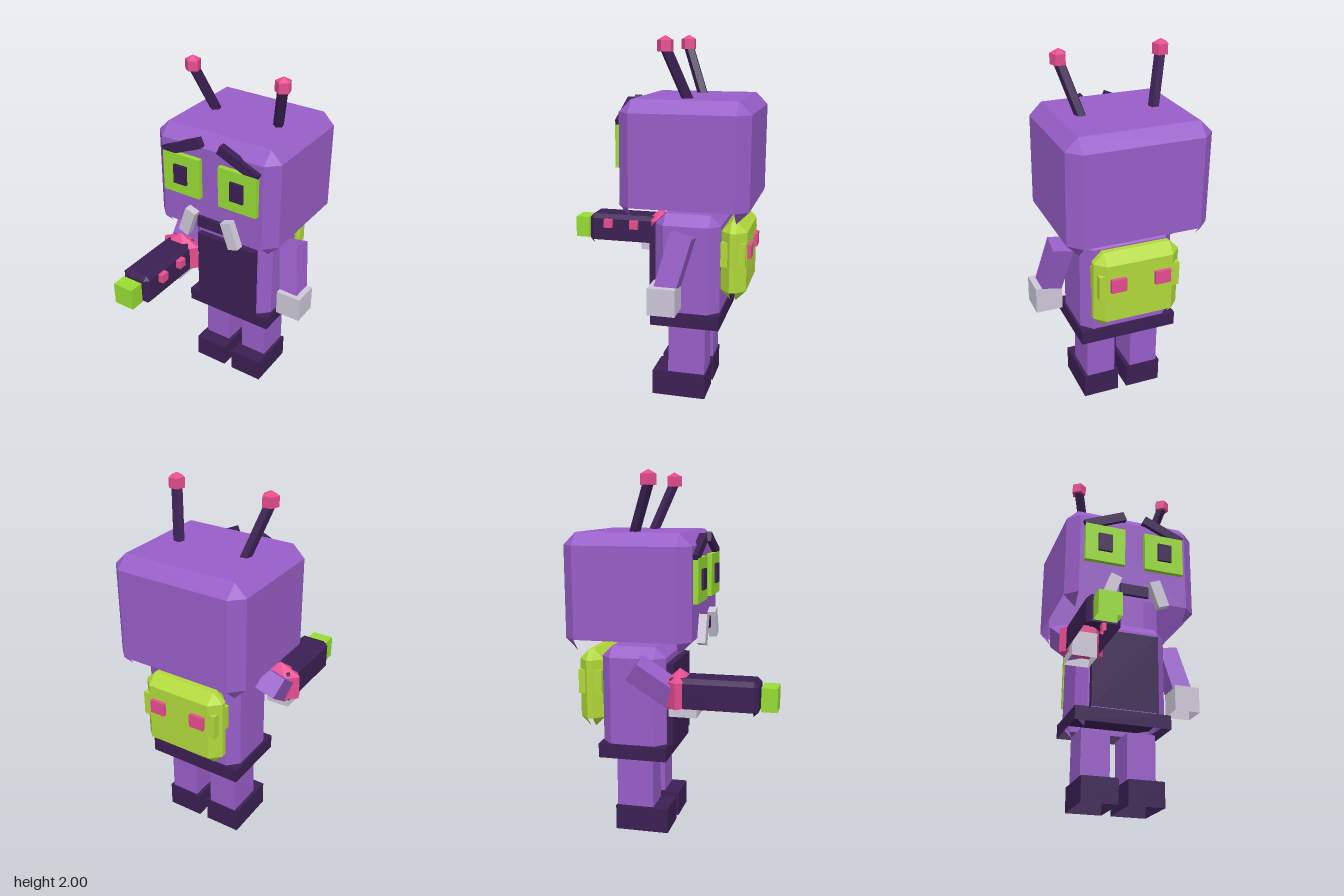
import * as THREE from 'three';
import { ConvexGeometry } from 'three/addons/geometries/ConvexGeometry.js';

const CX = -0.032; // the body's own centre line

// Double-sided, since most parts are shells left open underneath
function createMaterials() {
  const make = (name, color) => {
    const m = new THREE.MeshStandardMaterial({ color, side: THREE.DoubleSide });
    m.name = name;
    return m;
  };
  return {
    purple: make('purple', 0x985ec8),
    dark: make('darkPlum', 0x3b2053),
    lime: make('lime', 0x98dc34),
    olive: make('yellowGreen', 0xb2d93a),
    pink: make('pink', 0xee4f94),
    grey: make('paleGrey', 0xcec7d9),
  };
}

// Box with cut edges, open below apart from the four corner facets
function chamferGeometry(w, h, d, c) {
  const pts = [];
  for (const x of [-1, 1]) for (const y of [-1, 1]) for (const z of [-1, 1])
    for (let a = 0; a < 3; a++)
      pts.push(new THREE.Vector3(
        x * (w / 2 - (a === 0 ? 0 : c)),
        y * (h / 2 - (a === 1 ? 0 : c)),
        z * (d / 2 - (a === 2 ? 0 : c))));
  const hull = new ConvexGeometry(pts);
  const p = hull.attributes.position, n = hull.attributes.normal, kept = [];
  for (let i = 0; i < p.count; i += 3) {
    const corner = Math.abs(n.getX(i)) > 0.1 && Math.abs(n.getZ(i)) > 0.1;
    if (n.getY(i) < -0.1 && !corner) continue;
    for (let k = i; k < i + 3; k++) kept.push(p.getX(k), p.getY(k), p.getZ(k));
  }
  const g = new THREE.BufferGeometry();
  g.setAttribute('position', new THREE.Float32BufferAttribute(kept, 3));
  g.computeVertexNormals();
  return g;
}

// Box without one face, by its place in the order +x -x +y -y +z -z
function openBox(w, h, d, missing) {
  const g = new THREE.BoxGeometry(w, h, d);
  const index = Array.from(g.index.array);
  index.splice(missing * 6, 6);
  g.setIndex(index);
  g.clearGroups();
  return g;
}

function faceted(geometry) {
  const g = geometry.toNonIndexed();
  g.computeVertexNormals();
  return g;
}

// Knob with a pointed top, one unit in size, standing on y = 0
function knobGeometry(sides) {
  const profile = [[0, 0], [0.52, 0], [0.52, 0.7], [0, 1]].map(([x, y]) => new THREE.Vector2(x, y));
  return faceted(new THREE.LatheGeometry(profile, sides));
}

export function createModel() {
  const model = new THREE.Group();
  model.name = 'antennaRobot';
  const M = createMaterials();

  const add = (name, geometry, material, x = 0, y = 0, z = 0) => {
    const mesh = new THREE.Mesh(geometry, material);
    mesh.name = name;
    mesh.position.set(x, y, z);
    model.add(mesh);
    return mesh;
  };
  // Parts given by their lower and upper corners
  const span = (make) => (name, mat, [x0, x1], [y0, y1], [z0, z1], c) =>
    add(name, make(x1 - x0, y1 - y0, z1 - z0, c), mat, (x0 + x1) / 2, (y0 + y1) / 2, (z0 + z1) / 2);
  const box = span((w, h, d) => openBox(w, h, d, 3));
  const plate = span((w, h, d) => openBox(w, h, d, 5));
  const chamferBox = span(chamferGeometry);
  // Geometry along y laid from a lower to an upper point
  const between = (name, mat, a, b, make) => {
    const from = new THREE.Vector3(...a), to = new THREE.Vector3(...b);
    const d = to.clone().sub(from);
    const mesh = add(name, make(d.length()), mat);
    mesh.position.copy(from).add(to).multiplyScalar(0.5);
    mesh.rotation.set(Math.atan2(d.z, Math.hypot(d.x, d.y)), 0, Math.atan2(-d.x, d.y), 'ZYX');
  };
  const around = (x, half) => [x - half, x + half];

  // Head and torso
  chamferBox('head', M.purple, around(CX, 0.387), [1.05, 1.68], [-0.575, 0.12], 0.067);
  chamferBox('torso', M.purple, around(CX, 0.263), [0.425, 1.06], [-0.41, -0.048], 0.057);
  box('chestPanel', M.dark, around(CX, 0.195), [0.51, 0.97], [-0.06, -0.01]);
  box('belt', M.dark, around(CX, 0.277), [0.435, 0.515], [-0.42, -0.035]);
  plate('mouth', M.dark, around(CX, 0.084), [1.135, 1.2], [0.11, 0.14]);

  // Mirrored pairs
  for (const s of [-1, 1]) {
    const side = s > 0 ? 'left' : 'right';

    // Face
    plate(side + 'Eye', M.lime, around(CX + s * 0.178, 0.118), [1.315, 1.55], [0.115, 0.148]);
    plate(side + 'Pupil', M.dark, around(CX + s * 0.18, 0.041), [1.38, 1.49], [0.14, 0.162]);
    add(side + 'Brow', new THREE.BoxGeometry(0.258, 0.054, 0.04), M.dark, CX + s * 0.178, 1.595, 0.125)
      .rotation.z = -s * 0.41;
    add(side + 'Tusk', new THREE.BoxGeometry(0.066, 0.16, 0.046), M.grey, CX + s * 0.14, 1.157, 0.142)
      .rotation.z = s * 0.34;

    // Antenna
    between(side + 'Antenna', M.dark, [CX + s * 0.193, 1.65, -0.23], [CX + s * 0.276, 1.935, -0.12],
      (len) => faceted(new THREE.CylinderGeometry(0.03, 0.03, len, 5)));
    add(side + 'AntennaTip', knobGeometry(5), M.pink, CX + s * 0.277, 1.92, -0.119)
      .scale.set(0.085, 0.08, 0.085);

    // Leg and foot
    box(side + 'Leg', M.purple, around(CX + s * 0.132, 0.083), [0.13, 0.42], [-0.333, -0.125]);
    box(side + 'Foot', M.dark, around(CX + s * 0.13, 0.103), [0, 0.14], [-0.339, -0.037]);

    // Backpack light
    box(side + 'PackLight', M.pink, around(CX + s * 0.124, 0.043), [0.825, 0.9], [-0.57, -0.54]);
  }

  // Backpack
  chamferBox('backpack', M.olive, around(CX, 0.24), [0.59, 1.03], [-0.55, -0.41], 0.055);
  box('packBand', M.olive, around(CX, 0.226), [0.785, 0.92], [-0.547, -0.413]);

  // Hanging left arm
  between('leftArm', M.purple, [0.348, 0.69, -0.155], [0.294, 0.975, -0.23],
    (len) => new THREE.BoxGeometry(0.115, len, 0.12));
  box('leftHand', M.grey, [0.287, 0.437], [0.565, 0.715], [-0.22, -0.07]);

  // Raised right arm holding a blaster
  between('rightArm', M.purple, [-0.325, 0.81, 0.04], [-0.375, 0.975, -0.19],
    (len) => new THREE.BoxGeometry(0.115, len, 0.12));
  box('rightHand', M.grey, [-0.386, -0.25], [0.72, 0.86], [0.003, 0.153]);
  chamferBox('blasterBarrel', M.dark, [-0.4, -0.22], [0.745, 0.93], [-0.01, 0.478], 0.025);
  const collar = add('blasterCollar', knobGeometry(6), M.pink, -0.308, 0.77, 0.047);
  collar.rotation.y = Math.PI / 2;
  collar.scale.set(0.145, 0.2, 0.236);
  box('blasterTip', M.lime, [-0.373, -0.25], [0.773, 0.9], [0.49, 0.575]);
  for (const z of [0.19, 0.352])
    box('blasterLight', M.pink, [-0.24, -0.19], [0.855, 0.905], [z - 0.026, z + 0.026]);

  return model;
}
